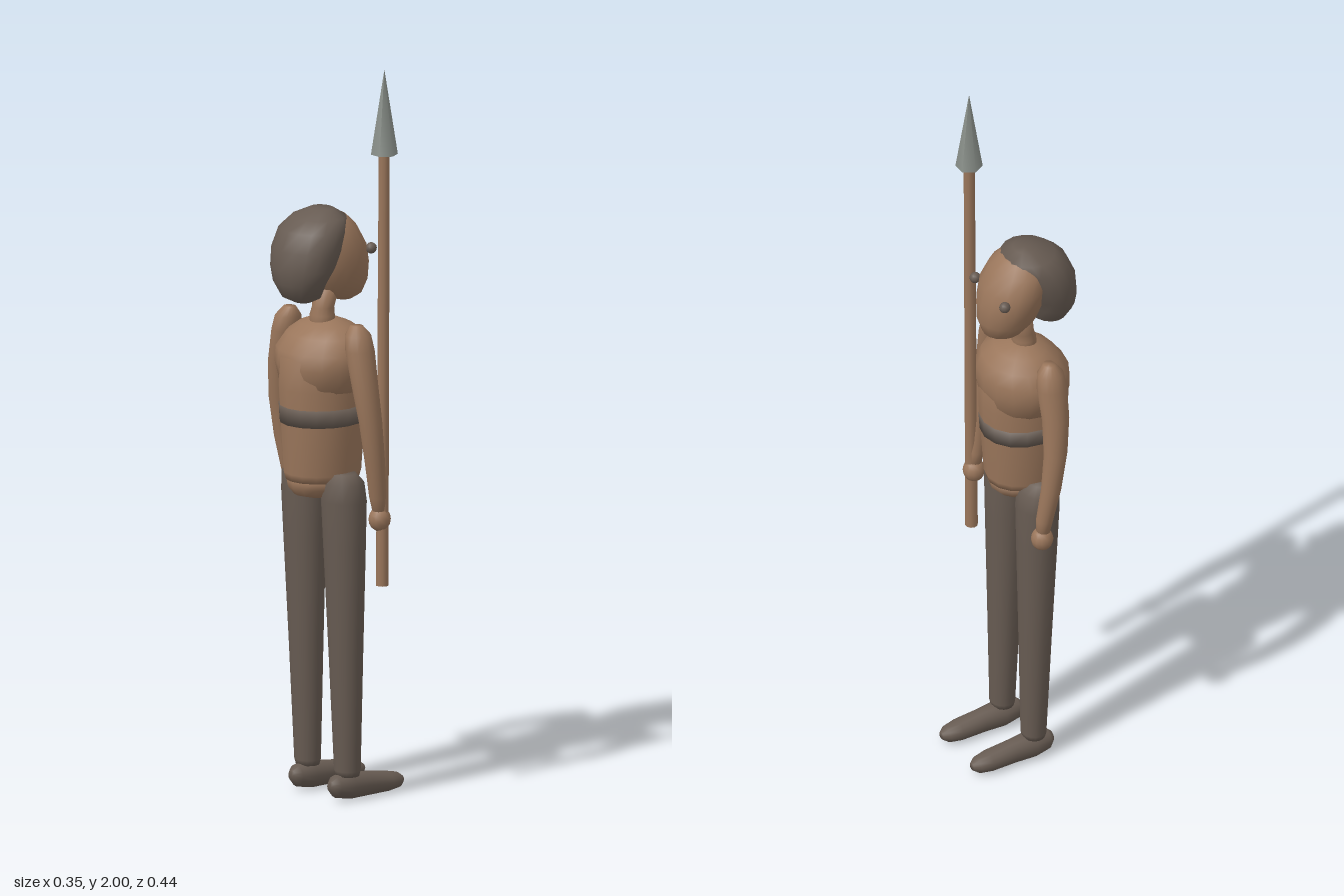
import * as THREE from 'three';

const skin = new THREE.MeshStandardMaterial({ color: 0x9a765b });
skin.name = 'skin';
const cloth = new THREE.MeshStandardMaterial({ color: 0x675b52 });
cloth.name = 'dark cloth and hair';
const metal = new THREE.MeshStandardMaterial({ color: 0x8a908a });
metal.name = 'spear metal';

// Closed body from elliptical rings [along, centreU, centreV, radiusU, radiusV].
// Rings stack along y (u = x, v = z), or along x (u = z, v = y).
function loft(rings, alongX = false, sides = 16) {
  const pos = [], idx = [];
  const put = (u, a, v) => (alongX ? pos.push(a, v, u) : pos.push(u, a, v));
  for (const [a, cu, cv, ru, rv] of rings) {
    for (let j = 0; j < sides; j++) {
      const t = (j / sides) * Math.PI * 2;
      put(cu + ru * Math.cos(t), a, cv + rv * Math.sin(t));
    }
  }
  for (let i = 0; i < rings.length - 1; i++) {
    for (let j = 0; j < sides; j++) {
      const k = (j + 1) % sides;
      const a = i * sides + j, b = i * sides + k;
      idx.push(a, a + sides, b, b, a + sides, b + sides);
    }
  }
  // end caps
  const first = rings[0], last = rings[rings.length - 1];
  const c0 = pos.length / 3, c1 = c0 + 1, top = (rings.length - 1) * sides;
  put(first[1], first[0], first[2]);
  put(last[1], last[0], last[2]);
  for (let j = 0; j < sides; j++) {
    const k = (j + 1) % sides;
    idx.push(c0, j, k, c1, top + k, top + j);
  }
  const g = new THREE.BufferGeometry();
  g.setAttribute('position', new THREE.Float32BufferAttribute(pos, 3));
  g.setIndex(idx);
  g.computeVertexNormals();
  return g;
}

export function createModel() {
  const model = new THREE.Group();
  model.name = 'spearBearer';
  const add = (name, geometry, material, x = 0, y = 0, z = 0) => {
    const m = new THREE.Mesh(geometry, material);
    m.name = name;
    m.position.set(x, y, z);
    model.add(m);
    return m;
  };

  // head, looking along +x
  add('head', loft([
    [1.345, 0.035, 0, 0.025, 0.028],
    [1.36, 0.032, 0, 0.055, 0.052],
    [1.40, 0.02, 0, 0.08, 0.078],
    [1.45, 0.01, 0, 0.088, 0.093],
    [1.50, 0, 0, 0.086, 0.099],
    [1.55, -0.02, 0, 0.08, 0.086],
    [1.58, -0.025, 0, 0.055, 0.06],
    [1.592, -0.03, 0, 0.025, 0.03],
  ]), skin);
  add('hair', loft([
    [1.355, -0.1, 0, 0.022, 0.025],
    [1.37, -0.105, 0, 0.048, 0.058],
    [1.41, -0.11, 0, 0.062, 0.082],
    [1.45, -0.1, 0, 0.077, 0.097],
    [1.50, -0.085, 0, 0.087, 0.104],
    [1.55, -0.065, 0, 0.086, 0.098],
    [1.58, -0.045, 0, 0.072, 0.076],
    [1.60, -0.035, 0, 0.03, 0.035],
  ]), cloth);
  add('neck', loft([
    [1.26, -0.035, 0, 0.034, 0.036],
    [1.31, -0.033, 0, 0.032, 0.035],
    [1.33, -0.03, 0, 0.029, 0.03],
    [1.38, -0.02, 0, 0.034, 0.034],
  ]), skin);

  // trunk
  add('chest', loft([
    [1.09, -0.03, 0, 0.08, 0.085],
    [1.13, -0.03, 0, 0.112, 0.122],
    [1.18, -0.03, 0, 0.121, 0.138],
    [1.22, -0.028, 0, 0.119, 0.137],
    [1.26, -0.02, 0, 0.098, 0.115],
    [1.285, -0.02, 0, 0.065, 0.08],
    [1.3, -0.022, 0, 0.03, 0.035],
  ]), skin);
  add('torso', loft([
    [0.87, -0.033, 0, 0.103, 0.09],
    [0.89, -0.033, 0, 0.109, 0.096],
    [1.05, -0.032, 0, 0.119, 0.106],
    [1.12, -0.032, 0, 0.123, 0.108],
    [1.2, -0.032, 0, 0.121, 0.105],
    [1.24, -0.03, 0, 0.095, 0.085],
  ]), skin);
  add('waistBand', loft([
    [1.025, -0.032, 0, 0.119, 0.107],
    [1.072, -0.032, 0, 0.122, 0.1095],
  ]), cloth);
  add('pelvis', loft([
    [0.82, -0.04, 0, 0.04, 0.035],
    [0.83, -0.036, 0, 0.08, 0.06],
    [0.85, -0.034, 0, 0.098, 0.08],
    [0.88, -0.033, 0, 0.104, 0.09],
  ]), skin);

  // paired parts
  for (const [side, s] of [['right', 1], ['left', -1]]) {
    add(side + 'Eye', new THREE.SphereGeometry(0.015, 12, 8), cloth, 0.07, 1.488, s * 0.078);
    add(side + 'Arm', loft([
      [0.80, 0.013, s * 0.18, 0.018, 0.018],
      [0.84, 0.008, s * 0.18, 0.023, 0.023],
      [0.94, -0.008, s * 0.187, 0.027, 0.027],
      [1.05, -0.022, s * 0.186, 0.032, 0.03],
      [1.15, -0.03, s * 0.172, 0.037, 0.034],
      [1.24, -0.03, s * 0.152, 0.041, 0.037],
      [1.28, -0.03, s * 0.144, 0.036, 0.034],
      [1.305, -0.03, s * 0.138, 0.016, 0.018],
    ]), skin);
    add(side + 'Hand', new THREE.SphereGeometry(0.03, 12, 8), skin, 0.015, 0.78, s * 0.179)
      .scale.y = 1.1;
    add(side + 'Leg', loft([
      [0.07, -0.015, s * 0.082, 0.03, 0.033],
      [0.085, -0.015, s * 0.082, 0.034, 0.037],
      [0.4, -0.02, s * 0.082, 0.044, 0.048],
      [0.7, -0.025, s * 0.082, 0.054, 0.06],
      [0.82, -0.027, s * 0.082, 0.058, 0.064],
      [0.87, -0.03, s * 0.082, 0.054, 0.06],
      [0.895, -0.033, s * 0.082, 0.035, 0.04],
    ]), cloth);
    add(side + 'Foot', loft([
      [-0.07, s * 0.08, 0.045, 0.015, 0.015],
      [-0.055, s * 0.08, 0.044, 0.029, 0.03],
      [-0.01, s * 0.08, 0.042, 0.036, 0.037],
      [0.05, s * 0.08, 0.038, 0.031, 0.033],
      [0.12, s * 0.08, 0.033, 0.033, 0.027],
      [0.155, s * 0.08, 0.031, 0.026, 0.021],
      [0.171, s * 0.08, 0.031, 0.012, 0.01],
    ], true), cloth);
  }

  // spear, upright in the right hand
  const shaft = add('spearShaft', new THREE.CylinderGeometry(0.015, 0.017, 1.18, 10), skin, 0.023, 1.19, 0.184);
  shaft.rotation.z = -0.006;
  add('spearHead', new THREE.ConeGeometry(0.036, 0.23, 6), metal, 0.027, 1.885, 0.184);

  return model;
}
